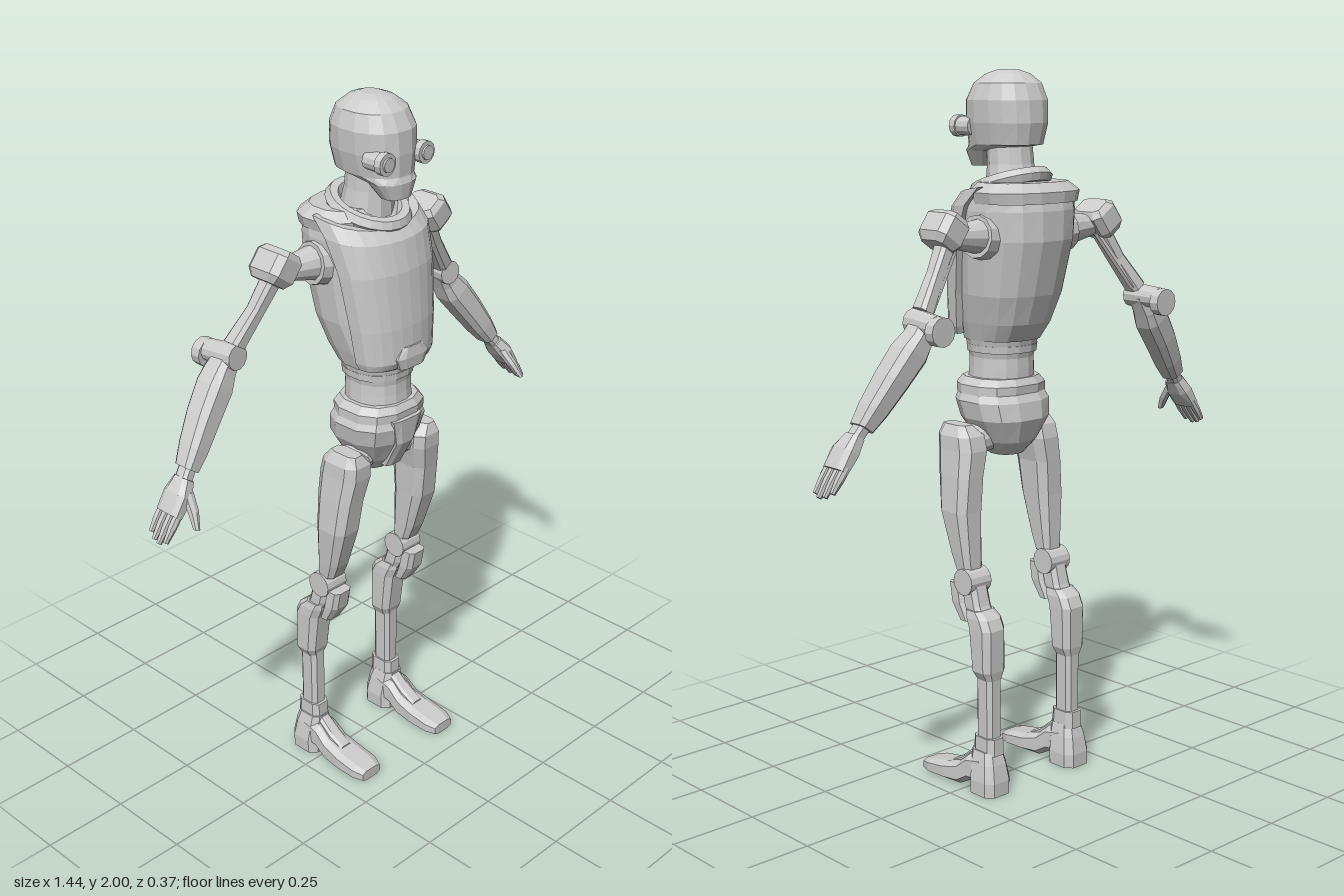
import * as THREE from 'three';

const V = (x, y, z) => new THREE.Vector3(x, y, z);
const metal = new THREE.MeshStandardMaterial({ color: 0xcccccc, flatShading: true });
metal.name = 'light grey metal';

function part(name, geo) {
  const g = geo.index ? geo.toNonIndexed() : geo;
  g.computeVertexNormals();
  const m = new THREE.Mesh(g, metal);
  m.name = name;
  return m;
}

// Closed skin over rings with an even number of points, with both ends capped
function skin(name, rings) {
  const n = rings[0].length, idx = [];
  const quad = (a, b, c, d) => idx.push(a, b, c, a, c, d);
  for (let r = 0; r < rings.length - 1; r++)
    for (let i = 0; i < n; i++) {
      const j = (i + 1) % n, a = r * n, b = a + n;
      quad(a + i, a + j, b + j, b + i);
    }
  const e = (rings.length - 1) * n;
  for (let i = 0; i < n / 2 - 1; i++) {
    quad(n - 1 - i, n - 2 - i, i + 1, i);
    quad(e + i, e + i + 1, e + n - 2 - i, e + n - 1 - i);
  }
  const g = new THREE.BufferGeometry().setFromPoints(rings.flat());
  g.setIndex(idx);
  return part(name, g);
}

// Loft of rounded sections [x, y, z, halfU, halfV] along direction t; small p is boxier
function loft(name, sections, { n = 8, p = 0.6, t = V(0, 1, 0), v = V(0, 0, 1) } = {}) {
  const u = v.clone().cross(t).normalize();
  const k = 1 / Math.pow(Math.cos(Math.PI / n), p);
  const bend = (c) => Math.sign(c) * Math.pow(Math.abs(c), p) * k;
  return skin(name, sections.map(([x, y, z, ru, rv]) =>
    Array.from({ length: n }, (_, i) => {
      const a = ((i + 0.5) / n) * Math.PI * 2;
      return V(x, y, z).addScaledVector(u, bend(Math.cos(a)) * ru).addScaledVector(v, bend(Math.sin(a)) * rv);
    })));
}

// Cylinder between two points
function rod(name, a, b, r1, r2 = r1, n = 12) {
  const d = b.clone().sub(a);
  const g = new THREE.CylinderGeometry(r2, r1, d.length(), n);
  g.applyQuaternion(new THREE.Quaternion().setFromUnitVectors(V(0, 1, 0), d.normalize()));
  const c = a.clone().add(b).multiplyScalar(0.5);
  return part(name, g.translate(c.x, c.y, c.z));
}

// Mirrored copy across x with corner order restored
function mirror(group, name) {
  const out = new THREE.Group();
  out.name = name;
  for (const m of group.children) {
    const g = m.geometry.clone().scale(-1, 1, 1), pos = g.attributes.position;
    for (let i = 0; i < pos.count; i += 3) {
      const a = V().fromBufferAttribute(pos, i + 1), b = V().fromBufferAttribute(pos, i + 2);
      pos.setXYZ(i + 1, b.x, b.y, b.z);
      pos.setXYZ(i + 2, a.x, a.y, a.z);
    }
    out.add(part(m.name, g));
  }
  return out;
}

function buildHead() {
  const g = new THREE.Group();
  g.name = 'head';
  g.add(loft('skull', [
    [0, 1.742, 0.112, 0.042, 0.034], [0, 1.785, 0.098, 0.068, 0.053], [0, 1.802, 0.035, 0.08, 0.11],
    [0, 1.86, 0.03, 0.093, 0.117], [0, 1.92, 0.03, 0.097, 0.113], [0, 1.965, 0.027, 0.083, 0.092],
    [0, 1.99, 0.025, 0.053, 0.06], [0, 2, 0.025, 0.025, 0.03]], { n: 16, p: 0.85 }));
  g.add(loft('neck', [[0, 1.66, 0.005, 0.075, 0.075], [0, 1.75, 0.015, 0.062, 0.062],
    [0, 1.81, 0.02, 0.06, 0.06]], { n: 12, p: 1 }));
  for (const s of [-1, 1]) {
    g.add(rod('eyeBarrel', V(s * 0.07, 1.85, 0.085), V(s * 0.072, 1.85, 0.14), 0.026));
    g.add(rod('eyeRim', V(s * 0.072, 1.85, 0.132), V(s * 0.072, 1.85, 0.153), 0.03));
    g.add(rod('eyeLens', V(s * 0.072, 1.85, 0.153), V(s * 0.072, 1.85, 0.159), 0.019));
  }
  return g;
}

function buildTorso() {
  const g = new THREE.Group();
  g.name = 'torso';
  g.add(loft('ribcage', [
    [0, 1.27, 0.05, 0.1, 0.1], [0, 1.32, 0.035, 0.115, 0.12], [0, 1.4, 0.01, 0.135, 0.125],
    [0, 1.55, -0.01, 0.15, 0.142], [0, 1.63, -0.015, 0.154, 0.137], [0, 1.665, -0.025, 0.15, 0.118],
    [0, 1.69, -0.02, 0.1, 0.085]], { n: 16, p: 0.85 }));
  // Curved breastplate from crescent sections [y, halfWidth, front, rear, dip of the middle]
  const arc = (y, w, f, r, dip) => Array.from({ length: 13 }, (_, i) => {
    const a = (i / 12) * Math.PI, s = Math.sin(a);
    return V(-w * Math.cos(a), y - dip * s, r + (f - r) * Math.pow(s, 0.7));
  });
  g.add(skin('breastplate', [
    [1.285, 0.122, 0.172, 0.1, 0], [1.305, 0.13, 0.182, 0.095, 0], [1.4, 0.141, 0.178, 0.085, 0],
    [1.55, 0.157, 0.163, 0.06, 0], [1.645, 0.166, 0.144, 0.02, 0.015], [1.695, 0.162, 0.12, -0.03, 0.035]]
    .map(([y, w, f, r, dip]) => [...arc(y, w, f, r, dip), ...arc(y, w - 0.025, f - 0.03, r, dip).reverse()])));
  g.add(loft('bellyLatch', [[0, 1.283, 0.168, 0.045, 0.018], [0, 1.315, 0.169, 0.06, 0.02],
    [0, 1.345, 0.167, 0.036, 0.018]]));
  // Tilted collar and rear shoulder yoke
  const collar = new THREE.TorusGeometry(0.092, 0.02, 6, 24).rotateX(Math.PI / 2).scale(1, 1.1, 1.1);
  g.add(part('collar', collar.rotateX(0.3).translate(0, 1.695, 0.015)));
  g.add(loft('shoulderYoke', [[0, 1.65, -0.04, 0.152, 0.11], [0, 1.68, -0.04, 0.16, 0.112],
    [0, 1.705, -0.035, 0.13, 0.09]], { n: 16, p: 0.8 }));
  g.add(loft('waist', [[0, 1.13, 0.055, 0.09, 0.09], [0, 1.19, 0.052, 0.087, 0.087],
    [0, 1.22, 0.052, 0.086, 0.086], [0, 1.28, 0.05, 0.1, 0.098]], { n: 16, p: 0.9 }));
  g.add(loft('waistRib', [[0, 1.235, 0.05, 0.093, 0.093], [0, 1.255, 0.05, 0.095, 0.095]], { n: 16, p: 0.9 }));
  return g;
}

function buildPelvis() {
  const g = new THREE.Group();
  g.name = 'pelvis';
  g.add(loft('belt', [[0, 1.12, 0.055, 0.118, 0.105], [0, 1.145, 0.055, 0.118, 0.107],
    [0, 1.165, 0.055, 0.1, 0.095]], { n: 12, p: 0.8 }));
  g.add(loft('hipShell', [[0, 0.945, 0.035, 0.045, 0.045], [0, 0.985, 0.035, 0.075, 0.08],
    [0, 1.05, 0.04, 0.115, 0.11], [0, 1.1, 0.05, 0.125, 0.113], [0, 1.13, 0.055, 0.112, 0.1]], { n: 12, p: 0.8 }));
  g.add(loft('groinPlate', [[0, 0.965, 0.1, 0.03, 0.02], [0, 1.05, 0.145, 0.035, 0.02],
    [0, 1.125, 0.155, 0.055, 0.018]]));
  return g;
}

function buildLeg() {
  const g = new THREE.Group();
  g.name = 'leftLeg';
  g.add(rod('hipJoint', V(0.06, 1.0, 0.05), V(0.15, 0.98, 0.06), 0.045));
  g.add(loft('thigh', [
    [0.154, 0.635, 0.02, 0.032, 0.028], [0.155, 0.68, 0.03, 0.036, 0.037], [0.157, 0.8, 0.05, 0.045, 0.054],
    [0.15, 0.9, 0.056, 0.044, 0.062], [0.138, 0.97, 0.062, 0.048, 0.068], [0.137, 1.01, 0.068, 0.047, 0.064],
    [0.145, 1.04, 0.075, 0.022, 0.045]]));
  g.add(rod('kneeAxle', V(0.118, 0.605, 0.006), V(0.192, 0.605, 0.006), 0.038, 0.038, 14));
  g.add(loft('kneeCap', [[0.155, 0.49, 0.015, 0.028, 0.018], [0.155, 0.54, 0.04, 0.033, 0.025],
    [0.155, 0.595, 0.05, 0.032, 0.025]]));
  g.add(loft('kneeLink', [[0.155, 0.48, -0.045, 0.032, 0.03], [0.155, 0.54, -0.015, 0.032, 0.03],
    [0.155, 0.62, 0.005, 0.03, 0.028]]));
  g.add(loft('shin', [[0.155, 0.335, -0.062, 0.028, 0.03], [0.156, 0.36, -0.06, 0.041, 0.036],
    [0.156, 0.48, -0.053, 0.042, 0.044], [0.156, 0.51, -0.04, 0.041, 0.043], [0.156, 0.53, -0.025, 0.036, 0.03]]));
  g.add(loft('lowerShin', [[0.155, 0.12, -0.06, 0.024, 0.031], [0.155, 0.36, -0.06, 0.026, 0.031]]));
  g.add(loft('ankleCuff', [[0.155, 0.115, -0.06, 0.03, 0.042], [0.155, 0.165, -0.06, 0.029, 0.04]]));
  // Foot
  g.add(loft('heel', [[0.157, 0, -0.065, 0.047, 0.05], [0.157, 0.04, -0.065, 0.048, 0.05],
    [0.157, 0.09, -0.06, 0.04, 0.046], [0.157, 0.125, -0.055, 0.032, 0.04]]));
  g.add(loft('frontFoot', [[0.157, 0.07, -0.06, 0.04, 0.045], [0.157, 0.063, -0.01, 0.042, 0.04],
    [0.157, 0.036, 0.03, 0.045, 0.034], [0.157, 0.027, 0.085, 0.049, 0.026],
    [0.157, 0.021, 0.15, 0.048, 0.021], [0.157, 0.017, 0.182, 0.036, 0.016]], { t: V(0, 0, 1), v: V(0, 1, 0) }));
  g.add(loft('instep', [[0.155, 0.11, -0.03, 0.02, 0.022], [0.155, 0.07, 0.03, 0.022, 0.014],
    [0.155, 0.05, 0.075, 0.02, 0.01]], { t: V(0, 0, 1), v: V(0, 1, 0) }));
  return g;
}

function buildArm() {
  const g = new THREE.Group();
  g.name = 'leftArm';
  const t = V(0.57, -0.82, 0).normalize();
  g.add(rod('shoulderSocket', V(0.12, 1.56, -0.025), V(0.17, 1.565, -0.03), 0.065, 0.058));
  g.add(rod('shoulderStalk', V(0.16, 1.565, -0.03), V(0.26, 1.57, -0.035), 0.048, 0.03));
  g.add(loft('shoulderBlock', [[0.263, 1.626, -0.035, 0.03, 0.045], [0.272, 1.612, -0.036, 0.046, 0.056],
    [0.304, 1.568, -0.038, 0.046, 0.056], [0.315, 1.55, -0.04, 0.032, 0.042]], { t, p: 0.5 }));
  g.add(loft('upperArm', [[0.285, 1.565, -0.045, 0.024, 0.026], [0.34, 1.475, -0.06, 0.021, 0.022],
    [0.4, 1.39, -0.08, 0.024, 0.027]], { t }));
  g.add(rod('armStrut', V(0.265, 1.55, -0.055), V(0.38, 1.39, -0.09), 0.01, 0.01, 6));
  // Elbow axle runs front to back with a wide rear cap
  g.add(rod('elbowAxle', V(0.41, 1.365, -0.055), V(0.42, 1.36, -0.16), 0.035, 0.03));
  g.add(rod('elbowCap', V(0.42, 1.35, -0.155), V(0.42, 1.35, -0.185), 0.039));
  g.add(loft('forearm', [[0.405, 1.37, -0.095, 0.026, 0.032], [0.435, 1.325, -0.098, 0.034, 0.04],
    [0.46, 1.29, -0.093, 0.043, 0.044], [0.51, 1.225, -0.083, 0.04, 0.042], [0.56, 1.155, -0.07, 0.034, 0.037],
    [0.592, 1.11, -0.062, 0.026, 0.03]], { t }));
  g.add(loft('wrist', [[0.585, 1.12, -0.062, 0.018, 0.022], [0.615, 1.08, -0.055, 0.018, 0.022]], { t }));
  g.add(loft('palm', [[0.608, 1.09, -0.055, 0.02, 0.026], [0.635, 1.055, -0.05, 0.024, 0.04],
    [0.668, 1.01, -0.05, 0.017, 0.04]], { t }));
  // Four jointed fingers and a thumb
  for (let i = 0; i < 4; i++) {
    const z = -0.082 + i * 0.021, l = [0.8, 0.95, 1, 0.9][i];
    g.add(loft('finger', [[0.66, 1.02, z, 0.01, 0.009], [0.66 + 0.027 * l, 1.02 - 0.037 * l, z, 0.01, 0.009],
      [0.66 + 0.055 * l, 1.02 - 0.076 * l, z, 0.006, 0.006]], { t, n: 6 }));
  }
  g.add(loft('thumb', [[0.622, 1.065, -0.03, 0.014, 0.014], [0.632, 1.025, 0.003, 0.012, 0.013],
    [0.645, 0.985, 0.03, 0.007, 0.008]], { t: V(0.2, -0.98, 0).normalize(), n: 6 }));
  return g;
}

export function createModel() {
  const model = new THREE.Group();
  model.name = 'humanoidRobot';
  const arm = buildArm(), leg = buildLeg();
  model.add(buildHead(), buildTorso(), buildPelvis(), arm, mirror(arm, 'rightArm'), leg, mirror(leg, 'rightLeg'));
  return model;
}
